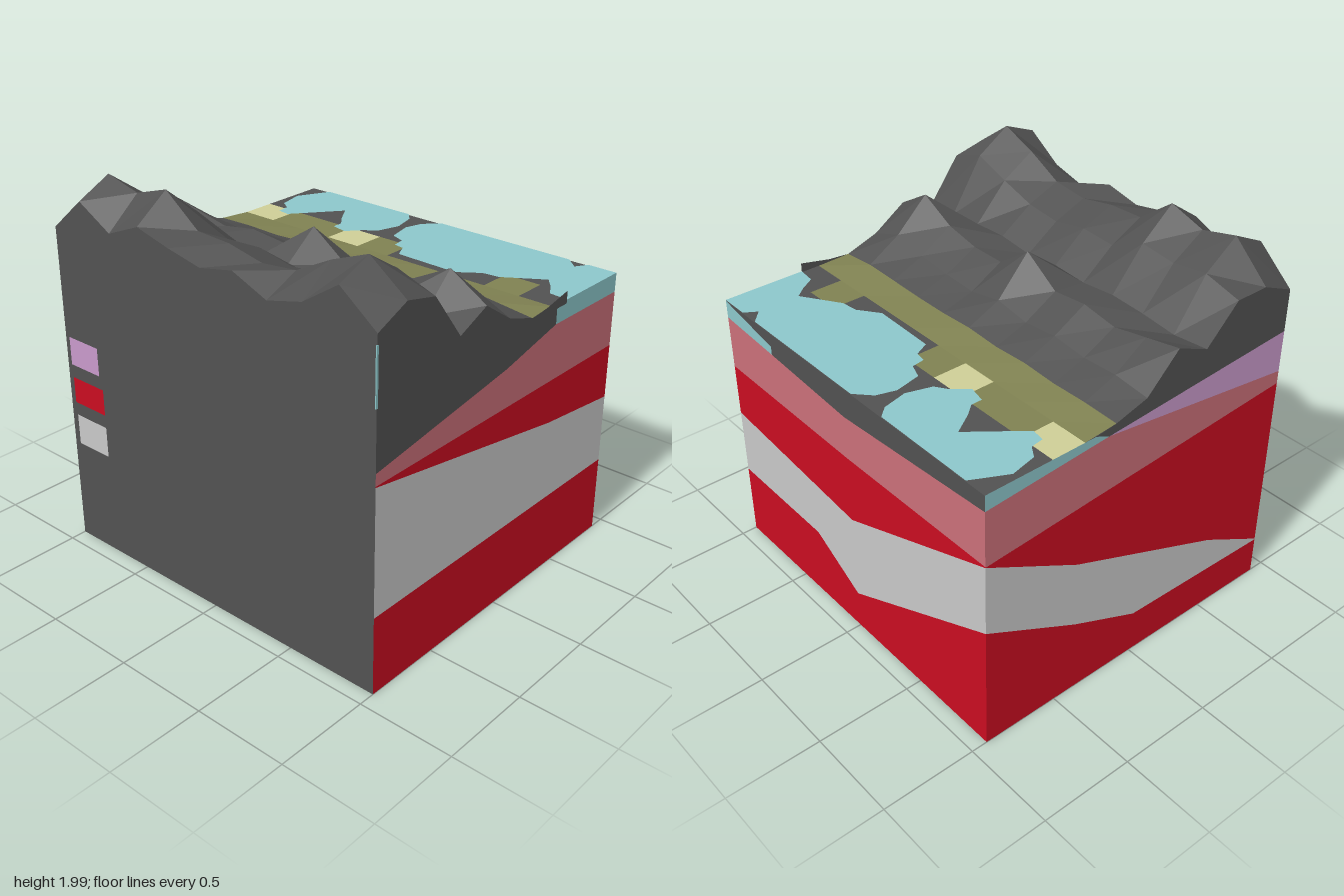
import * as THREE from 'three';

const W = 1, D = 0.915, FLAT = 1.455;

function mat(name, color) {
  const m = new THREE.MeshStandardMaterial({ color, side: THREE.DoubleSide });
  m.name = name;
  return m;
}

// Terrain heights, x from -1 to 1, one row per grid line from the front edge backwards
const HEIGHTS = [
  [1.72, 1.89, 1.78, 1.86, 1.81, 1.77, 1.81, 1.73, 1.78, 1.91, 1.76],
  [1.80, 1.98, 1.93, 1.99, 1.84, 1.83, 1.79, 1.81, 1.91, 1.985, 1.84],
  [1.80, 1.85, 1.82, 1.84, 1.75, 1.76, 1.72, 1.74, 1.80, 1.87, 1.80],
  [1.62, 1.60, 1.62, 1.63, 1.61, 1.62, 1.60, 1.62, 1.61, 1.59, 1.56],
  [1.70, 1.66, 1.62, 1.65, 1.63, 1.76, 1.62, 1.62, 1.66, 1.76, 1.64],
  [1.52, 1.54, 1.53, 1.55, 1.53, 1.56, 1.52, 1.53, 1.55, 1.59, 1.52],
  [1.47, 1.475, 1.47, 1.48, 1.47, 1.48, 1.47, 1.47, 1.475, 1.48, 1.46],
];
const heightAt = (row, col) => (row < HEIGHTS.length ? HEIGHTS[row][col] : FLAT);
const rowZ = (row) => D - (row * 2 * D) / 10;

export function createModel() {
  const model = new THREE.Group();
  model.name = 'geologicalBlock';

  const rock = mat('dark rock', 0x525252);
  const red = mat('red layer', 0xca0d21);
  const grey = mat('light grey layer', 0xc9c9c9);
  const pink = mat('pink layer', 0xcb7079);
  const purple = mat('purple layer', 0xc99acb);
  const water = mat('water', 0x8dc7cb);
  const olive = mat('olive grass', 0x808252);
  const sand = mat('pale sand', 0xcfcf97);

  // Flat polygon in two coordinates, placed in space by a mapping
  function panel(name, material, points, place) {
    const shape = new THREE.Shape(points.map(([u, v]) => new THREE.Vector2(u, v)));
    const geo = new THREE.ShapeGeometry(shape);
    const pos = geo.attributes.position;
    for (let i = 0; i < pos.count; i++) pos.setXYZ(i, ...place(pos.getX(i), pos.getY(i)));
    // keep the outward side as the front of each face
    const n = new THREE.Vector3();
    geo.computeVertexNormals();
    n.fromBufferAttribute(geo.attributes.normal, 0);
    const out = new THREE.Vector3(...place.out);
    if (n.dot(out) < 0) {
      const ix = geo.index;
      for (let i = 0; i < ix.count; i += 3) {
        const a = ix.getX(i);
        ix.setX(i, ix.getX(i + 1));
        ix.setX(i + 1, a);
      }
      geo.computeVertexNormals();
    }
    const mesh = new THREE.Mesh(geo, material);
    mesh.name = name;
    model.add(mesh);
  }
  const facing = (fn, out) => Object.assign(fn, { out });
  const left = facing((z, y) => [W, y, z], [1, 0, 0]);
  const right = facing((z, y) => [-W, y, z], [-1, 0, 0]);
  const back = facing((x, y) => [x, y, -D], [0, 0, -1]);
  const front = facing((x, y) => [x, y, D], [0, 0, 1]);
  const decal = facing((x, y) => [x, y, D + 0.003], [0, 0, 1]);
  const lake = facing((x, z) => [x, FLAT + 0.005, z], [0, 1, 0]);
  const base = facing((x, z) => [x, 0, z], [0, -1, 0]);

  // Layer between a lower and an upper line
  const layer = (name, material, low, high, place) =>
    panel(name, material, [...low, ...[...high].reverse()], place);

  // Mountain surface with grass and sand cells on the shore
  const geoGrid = new THREE.PlaneGeometry(2 * W, 2 * D, 10, 10).rotateX(-Math.PI / 2);
  const p = geoGrid.attributes.position;
  for (let i = 0; i < p.count; i++) p.setY(i, heightAt(10 - Math.floor(i / 11), i % 11));
  const shore = [2, 1, 1, 2, 1, 0, 0, 0, 1, 0];
  for (let r = 0; r < 10; r++)
    for (let c = 0; c < 10; c++)
      geoGrid.addGroup((r * 10 + c) * 6, 6, r === 3 ? 1 : r === 2 ? shore[c] : 0);
  const geo = geoGrid.toNonIndexed();
  geo.computeVertexNormals();
  const terrain = new THREE.Mesh(geo, [rock, olive, sand]);
  terrain.name = 'terrain';
  model.add(terrain);

  // Lakes
  panel('smallLake', water, [
    [-0.88, -D], [-0.97, -0.74], [-0.94, -0.6], [-0.88, -0.56], [-0.87, -0.49], [-0.8, -0.48],
    [-0.72, -0.58], [-0.6, -0.73], [-0.53, -0.62], [-0.48, -0.56], [-0.48, -0.5], [-0.39, -0.48],
    [-0.32, -0.56], [-0.26, -0.6], [-0.22, -0.73], [-0.25, -0.86], [-0.3, -D]], lake);
  panel('largeLake', water, [
    [-0.07, -D], [-0.15, -0.84], [-0.18, -0.74], [-0.15, -0.6], [-0.07, -0.57], [-0.06, -0.5],
    [0, -0.49], [0.04, -0.41], [0.4, -0.4], [0.51, -0.48], [0.6, -0.49], [0.8, -0.62],
    [0.85, -0.56], [0.9, -0.48], [1, -0.47], [1, -D], [0.84, -D], [0.8, -0.85], [0.73, -D]], lake);

  // Left side (+x)
  const l0 = [[D, 0], [-D, 0]], l1 = [[D, 0.41], [-D, 0.41]];
  const l2 = [[D, 1.065], [-0.39, 0.84], [-D, 0.78]], l3 = [[D, 1.07], [-D, 1.07]];
  const l4 = [[D, 1.13], [0, 1.27], [-0.39, 1.36]], lEnd = [-D, 1.36];
  const edge = (col) => [0, 1, 2, 3, 4, 5, 6].map((r) => [rowZ(r), heightAt(r, col)]);
  layer('leftRedBase', red, l0, l1, left);
  layer('leftGreyLayer', grey, l1, l2, left);
  layer('leftRedWedge', red, l2, l3, left);
  layer('leftPinkLayer', pink, l3, [...l4, lEnd], left);
  layer('leftRock', rock, [...l4, [-0.39, 1.44], [-0.47, 1.44]],
    [...edge(10), [-0.3, 1.47], [-0.47, 1.505]], left);
  panel('leftWater', water,
    [[-0.39, 1.36], lEnd, [-D, 1.46], [-0.47, 1.46], [-0.47, 1.44], [-0.39, 1.44]], left);

  // Right side (-x)
  const r1 = [[-D, 0.69], [-0.38, 0.41], [0.015, 0.235], [D, 0.21]];
  const r2 = [[-D, 1.07], [-0.38, 0.78], [0.53, 0.42], [D, 0.215]];
  const r3 = [[-D, 1.07], [D, 1.2]];
  const r4 = [[-D, 1.37], [-0.22, 1.42], [D, 1.27]];
  layer('rightRedBase', red, [[-D, 0], [D, 0]], r1, right);
  layer('rightGreyLayer', grey, r1, r2, right);
  layer('rightRedLayer', red, r2, [[-D, 1.075], [D, 1.2]], right);
  layer('rightPinkLayer', pink, r3, r4, right);
  panel('rightPurpleWedge', purple, [[-0.22, 1.42], [D, 1.27], [D, 1.495]], right);
  panel('rightWater', water,
    [[-D, 1.37], [-0.22, 1.42], [-0.3, FLAT], [-D, FLAT]], right);
  panel('rightRock', rock,
    [[-0.22, 1.42], [D, 1.495], ...edge(0), [-0.3, FLAT]], right);

  // Back
  const b1 = [[1, 0.41], [0.33, 0.4], [0, 0.215], [-1, 0.69]];
  const b2 = [[1, 0.78], [0, 0.69], [-1, 1.07]];
  const b3 = [[1, 1.07], [0, 1.06], [-1, 1.075]];
  const b4 = [[1, 1.36], [0.6, 1.335], [0, 1.295], [-1, 1.37]];
  layer('backRedBase', red, [[1, 0], [-1, 0]], b1, back);
  layer('backGreyLayer', grey, b1, b2, back);
  layer('backRedLayer', red, b2, b3, back);
  layer('backPinkLayer', pink, b3, b4, back);
  panel('backWater', water, [[1, 1.36], [0.6, 1.335], [0.6, 1.38], [1, FLAT]], back);
  panel('backRock', rock,
    [[1, FLAT], [0.6, 1.38], [0.6, 1.335], [0, 1.295], [-1, 1.37], [-1, FLAT]], back);

  // Front wall and underside
  panel('frontWall', rock,
    [[1, 0], ...HEIGHTS[0].map((h, c) => [-1 + c * 0.2, h]).reverse(), [-1, 0]], front);
  panel('underside', rock, [[-1, -D], [1, -D], [1, D], [-1, D]], base);

  // Colour key on the front
  const rect = (x0, x1, y0, y1) => [[x0, y0], [x1, y0], [x1, y1], [x0, y1]];
  panel('purpleKey', purple, rect(-0.97, -0.76, 1.0, 1.15), decal);
  panel('redKey', red, rect(-0.965, -0.74, 0.79, 0.93), decal);
  panel('greyKey', grey, rect(-0.96, -0.74, 0.555, 0.72), decal);

  // Thin water sliver on the front corner
  const sliver = new THREE.Mesh(new THREE.BoxGeometry(0.005, 0.28, 0.012), water);
  sliver.name = 'cornerSliver';
  sliver.position.set(0.999, 1.57, D);
  model.add(sliver);

  return model;
}
